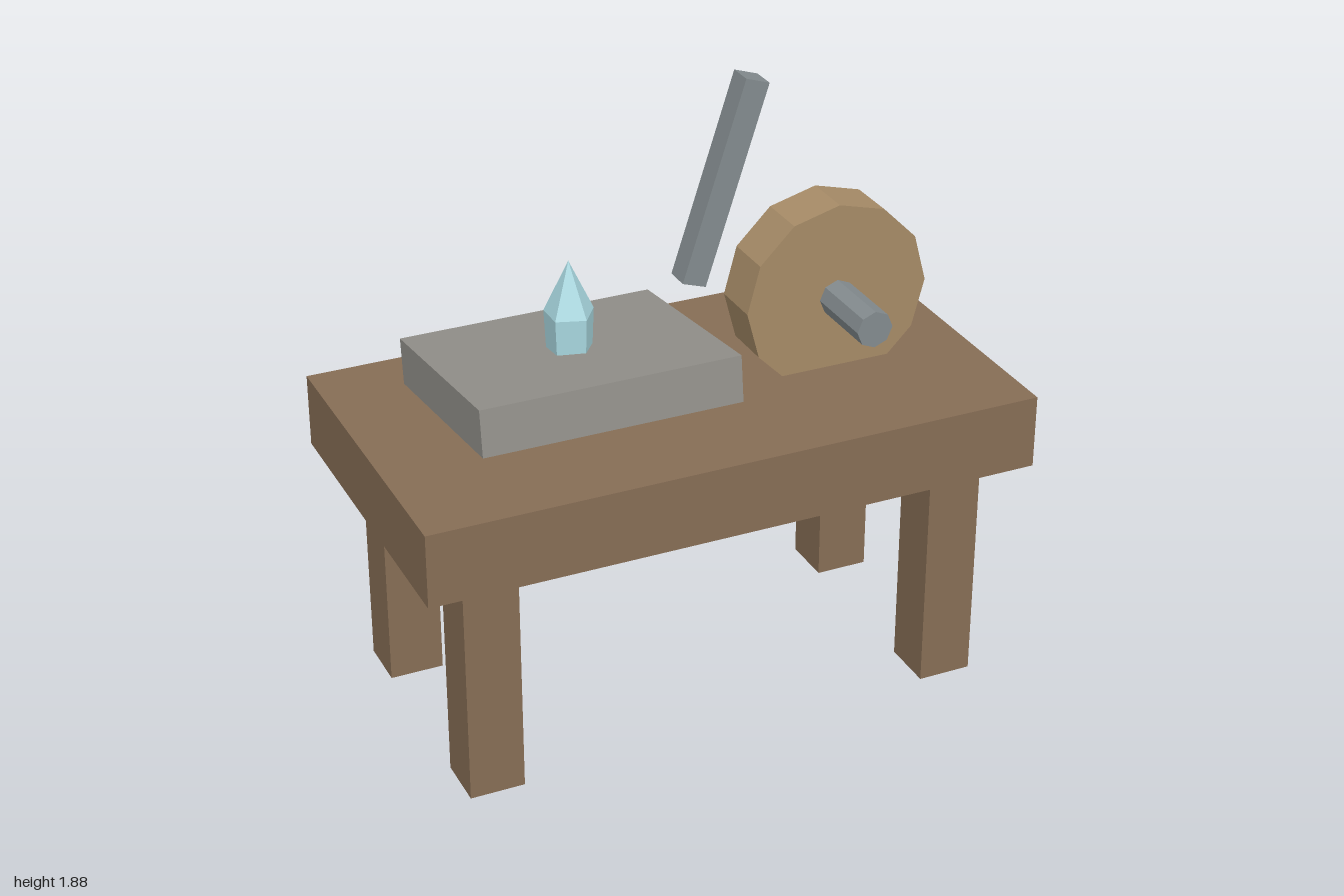
import * as THREE from 'three';

const material = (color) => new THREE.MeshStandardMaterial({ color, flatShading: true });

export function createModel() {
  const model = new THREE.Group();
  model.name = 'workbench';

  const wood = material(0x866d55);
  const wheelWood = material(0xa68b67);
  const metal = material(0x838b8e);
  const stone = material(0x92908a);
  const crystalBlue = material(0xa9d8e0);

  const add = (name, geometry, mat, x, y, z) => {
    const mesh = new THREE.Mesh(geometry, mat);
    mesh.name = name;
    mesh.position.set(x, y, z);
    model.add(mesh);
    return mesh;
  };

  // Table top and four square legs
  add('tableTop', new THREE.BoxGeometry(2, 0.24, 1.07), wood, 0, 0.885, 0);
  for (const [side, sx] of [['Left', 1], ['Right', -1]]) {
    for (const [end, sz] of [['front', 1], ['back', -1]]) {
      add(`${end}${side}Leg`, new THREE.BoxGeometry(0.176, 0.766, 0.176), wood, sx * 0.776, 0.383, sz * 0.358);
    }
  }

  // Stone slab, raised at the front
  const slab = add('slab', new THREE.BoxGeometry(0.834, 0.149, 0.687), stone, -0.333, 1.136, 0);
  slab.rotation.x = -0.12;

  // Five-sided crystal: prism body with a pointed tip, one edge facing +x
  const crystal = new THREE.Group();
  crystal.name = 'crystal';
  crystal.position.set(-0.33, 0, 0);
  crystal.rotation.y = Math.PI / 2;
  const body = new THREE.Mesh(new THREE.CylinderGeometry(0.08, 0.072, 0.17, 5), crystalBlue);
  body.name = 'crystalBody';
  body.position.y = 1.245;
  const tip = new THREE.Mesh(new THREE.ConeGeometry(0.08, 0.17, 5, 1, true), crystalBlue);
  tip.name = 'crystalTip';
  tip.position.y = 1.415;
  crystal.add(body, tip);
  model.add(crystal);

  // Grinding wheel, sunk into the table top, on an octagonal axle
  const wheel = add('wheel', new THREE.CylinderGeometry(0.31, 0.31, 0.166, 12), wheelWood, 0.535, 1.243, 0);
  const axle = add('axle', new THREE.CylinderGeometry(0.06, 0.06, 0.66, 8), metal, 0.535, 1.241, 0);
  wheel.rotation.x = axle.rotation.x = Math.PI / 2;

  // Leaning lever behind the wheel
  const lever = add('lever', new THREE.BoxGeometry(0.084, 0.688, 0.086), metal, 0.297, 1.542, -0.27);
  lever.rotation.z = -0.315;

  return model;
}
